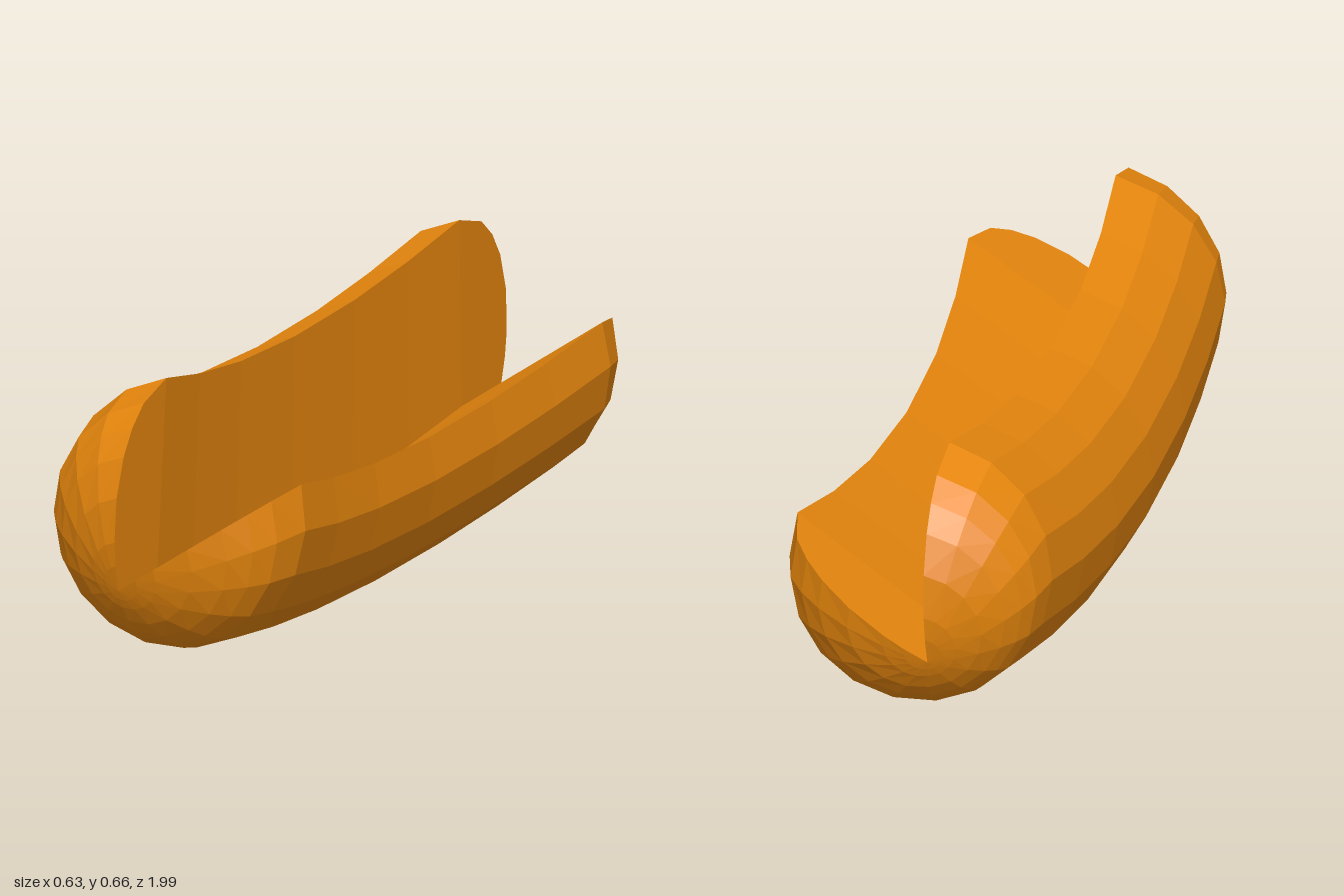
import * as THREE from 'three';

const SEGMENTS = 14;                       // facets around the crust
const START = THREE.MathUtils.degToRad(101);   // upper lip of the slit
const END = THREE.MathUtils.degToRad(378.5);   // lower lip of the slit
const BODY_Z = 0.775;                      // where the rounded ends begin

// Bend of the bun: centre and radius of the round section at a given z
function section(z) {
  const k = (z / BODY_Z) ** 2;
  return { x: -0.03 + 0.045 * k, y: 0.29 + 0.08 * k, r: 0.29 + 0.01 * k };
}

// One closed section: the bottom of the slit, then the crust from lip to lip.
// t = 1 is the full section; smaller t shrinks it over the domed end.
function row(z, t, side) {
  const c = section(z);
  const apex = new THREE.Vector2(c.x - 0.065, c.y - 0.14);
  const points = [new THREE.Vector3(apex.x, apex.y, t === 0 ? domeZ(apex, c, side) : z)];
  for (let i = 0; i <= SEGMENTS; i++) {
    const a = START + (END - START) * i / SEGMENTS;
    const lean = 1 - 0.04 * Math.sin(a);   // sections tilt with the bend
    const rim = new THREE.Vector2(c.x + c.r * Math.cos(a), c.y + c.r * Math.sin(a));
    const p = apex.clone().lerp(rim, t);
    const pz = side ? domeZ(p, c, side) : z * lean;
    points.push(new THREE.Vector3(p.x, p.y, pz));
  }
  return points;
}

// Height of the domed end over a point of the section
function domeZ(p, c, side) {
  const dx = (p.x - c.x) / c.r, dy = (p.y - c.y) / c.r;
  const s2 = Math.min(1, dx * dx + dy * dy);
  const s = Math.sqrt(s2);
  const base = BODY_Z * (1 - (s > 0 ? 0.04 * dy : 0));
  return side * (base + (1.003 - base) * Math.sqrt(1 - s2));
}

// Joins successive sections with triangles, leaving out collapsed ones
function loft(rows) {
  const pos = [];
  const tri = (a, b, c) => {
    const area = b.clone().sub(a).cross(c.clone().sub(a)).length();
    if (area > 1e-7) for (const p of [a, b, c]) pos.push(p.x, p.y, p.z);
  };
  for (let i = 0; i < rows.length - 1; i++) {
    const n = rows[i].length;
    for (let j = 0; j < n; j++) {
      const k = (j + 1) % n;
      const a = rows[i][j], b = rows[i][k], c = rows[i + 1][j], d = rows[i + 1][k];
      tri(a, c, b);
      tri(b, c, d);
    }
  }
  const geometry = new THREE.BufferGeometry();
  geometry.setAttribute('position', new THREE.Float32BufferAttribute(pos, 3));
  geometry.computeVertexNormals();
  return geometry;
}

export function createModel() {
  const group = new THREE.Group();
  group.name = 'slicedBun';

  // Rounded front end, bent body, rounded back end
  const capSteps = [0, 0.14, 0.27, 0.5, 0.7, 0.83, 0.93];
  const rows = [
    ...capSteps.map((t) => row(BODY_Z, t, 1)),
    ...[BODY_Z, 0.55, 0.3, 0, -0.3, -0.55, -BODY_Z].map((z) => row(z, 1, 0)),
    ...capSteps.slice().reverse().map((t) => row(-BODY_Z, t, -1)),
  ];

  const material = new THREE.MeshStandardMaterial({
    color: 0xe6860d, flatShading: true, side: THREE.DoubleSide,
  });
  const bun = new THREE.Mesh(loft(rows), material);
  bun.name = 'bun';
  group.add(bun);
  return group;
}
